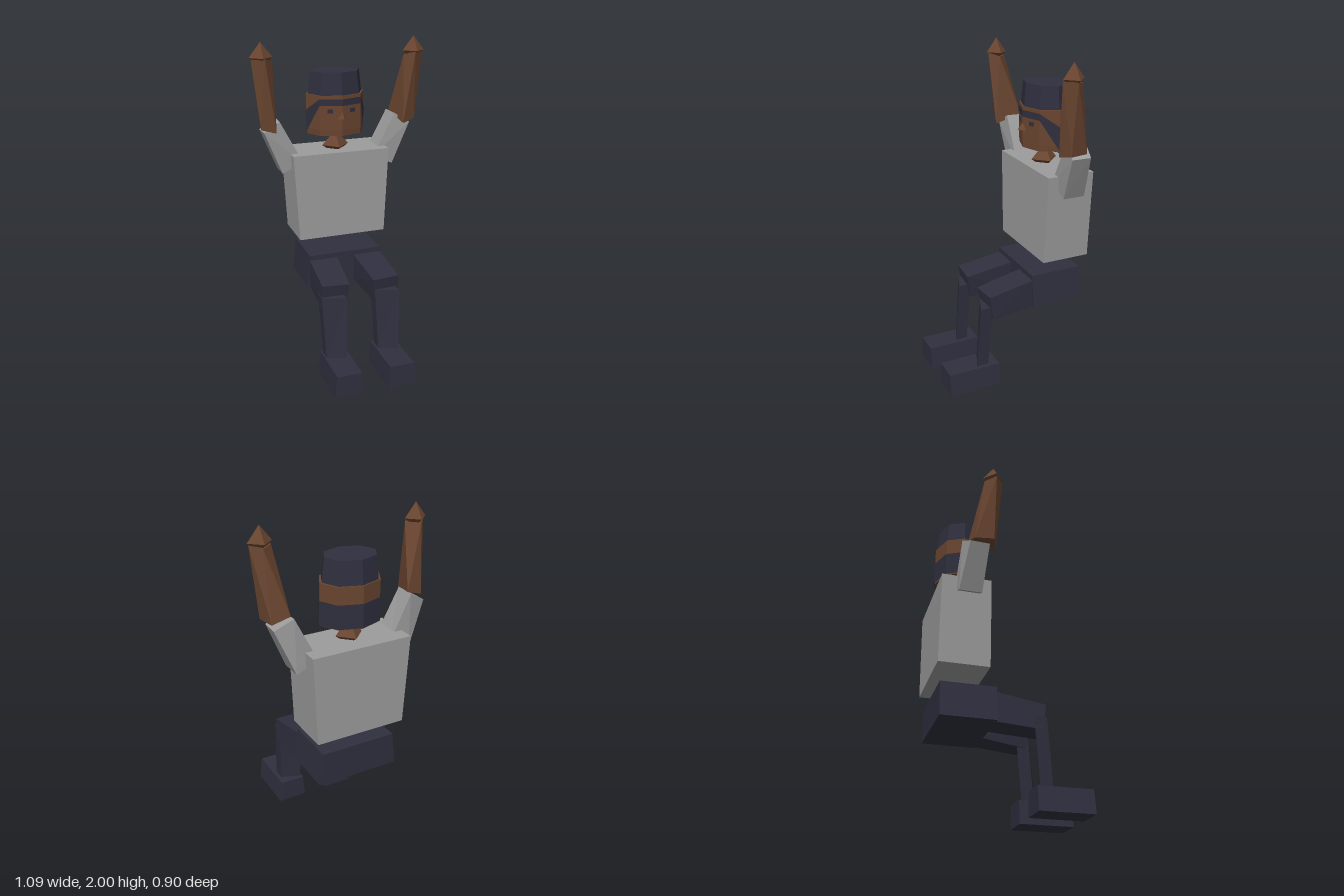
import * as THREE from 'three';

const mat = (name, color, side = THREE.FrontSide) => {
  const m = new THREE.MeshStandardMaterial({ color, flatShading: true, side });
  m.name = name;
  return m;
};

// Faceted geometry from loose triangles
function fromTriangles(tris) {
  const g = new THREE.BufferGeometry();
  g.setAttribute('position', new THREE.Float32BufferAttribute(tris.flat(2), 3));
  g.computeVertexNormals();
  return g;
}

// Closed solid through matching cross-sections; turned outwards by its signed volume
function loft(sections) {
  const n = sections[0].length, tris = [];
  for (let s = 0; s < sections.length - 1; s++) {
    const a = sections[s], b = sections[s + 1];
    for (let i = 0; i < n; i++) {
      const j = (i + 1) % n;
      tris.push([a[i], a[j], b[j]], [a[i], b[j], b[i]]);
    }
  }
  const first = sections[0], last = sections[sections.length - 1];
  for (let i = 1; i < n - 1; i++) {
    tris.push([first[0], first[i + 1], first[i]], [last[0], last[i], last[i + 1]]);
  }
  const v = (p) => new THREE.Vector3(...p);
  const o = v(first[0]);
  const volume = tris.reduce((sum, [a, b, c]) =>
    sum + v(a).sub(o).dot(v(b).sub(o).cross(v(c).sub(o))), 0);
  return fromTriangles(volume < 0 ? tris.map(([a, b, c]) => [a, c, b]) : tris);
}

// Level rectangle used as a cross-section
const rect = (x0, x1, z0, z1, y) => [[x0, y, z0], [x1, y, z0], [x1, y, z1], [x0, y, z1]];
const mirror = (sections, s) => sections.map((q) => q.map(([x, y, z]) => [x * s, y, z]));

export function createModel() {
  const model = new THREE.Group();
  model.name = 'seatedFigure';
  const grey = mat('shirtGrey', 0x9c9c9c);
  const navy = mat('darkNavy', 0x2f2f3f, THREE.DoubleSide);
  const brown = mat('skinBrown', 0x6a4530);
  const add = (name, geometry, material) => {
    const m = new THREE.Mesh(geometry, material);
    m.name = name;
    model.add(m);
    return m;
  };

  // Torso and hips
  add('torso', loft([rect(-0.28, 0.28, -0.45, -0.15, 0.78), rect(-0.308, 0.308, -0.45, -0.155, 1.32)]), grey);
  add('hips', loft([rect(-0.257, 0.257, -0.425, -0.1, 0.48), rect(-0.235, 0.235, -0.425, -0.1, 0.685)]), navy);

  // Diamond solids for neck and hands
  const diamond = (name, x, y, z, rx, up, down, rz) => {
    const g = new THREE.OctahedronGeometry(1);
    const p = g.attributes.position;
    for (let i = 0; i < p.count; i++) {
      const h = p.getY(i);
      p.setXYZ(i, x + p.getX(i) * rx, y + h * (h > 0 ? up : down), z + p.getZ(i) * rz);
    }
    g.computeVertexNormals();
    add(name, g, brown);
  };
  diamond('neck', 0, 1.34, -0.29, 0.085, 0.09, 0.06, 0.085);

  for (const s of [1, -1]) {
    const side = s > 0 ? 'left' : 'right';

    // Arms, raised
    add(side + 'UpperArm', loft(mirror([
      [[0.36, 1.2, -0.36], [0.23, 1.26, -0.36], [0.23, 1.26, -0.22], [0.36, 1.2, -0.225]],
      [[0.472, 1.465, -0.325], [0.365, 1.525, -0.35], [0.37, 1.525, -0.22], [0.468, 1.465, -0.21]],
    ], s)), grey);
    add(side + 'Forearm', loft(mirror([
      [[0.49, 1.49, -0.19], [0.405, 1.47, -0.16], [0.367, 1.525, -0.315], [0.47, 1.49, -0.3]],
      [[0.535, 1.9, -0.19], [0.465, 1.91, -0.135], [0.41, 1.89, -0.19], [0.48, 1.89, -0.25]],
    ], s)), brown);
    diamond(side + 'Hand', s * 0.475, 1.912, -0.195, 0.07, 0.088, 0.06, 0.065);

    // Legs: thigh forward, slightly twisted shin, block foot
    add(side + 'Thigh', loft(mirror([
      [[0.235, 0.48, -0.12], [0.055, 0.48, -0.12], [0.055, 0.655, -0.11], [0.235, 0.655, -0.11]],
      [[0.25, 0.455, 0.165], [0.09, 0.45, 0.17], [0.077, 0.6, 0.195], [0.245, 0.605, 0.185]],
    ], s)), navy);
    const dx = s > 0 ? 0.34 : 0;
    const shin = add(side + 'Shin', loft([
      [[-0.235, 0.13, 0.218], [-0.12, 0.13, 0.264], [-0.12, 0.13, 0.19], [-0.235, 0.13, 0.145]],
      [[-0.25, 0.53, 0.185], [-0.11, 0.53, 0.238], [-0.11, 0.53, 0.16], [-0.25, 0.53, 0.11]],
    ]), navy);
    shin.position.x = dx;
    add(side + 'Foot', loft(mirror([
      rect(0.078, 0.26, 0.125, 0.45, 0), rect(0.09, 0.245, 0.125, 0.45, 0.14),
    ], s)), navy);
  }

  // Eight-sided head: corner k counts from the front towards the figure's left
  const corner = (k, y, rx, rz) => {
    const a = (k * Math.PI) / 4;
    return [rx * Math.sin(a), y, -0.29 + rz * Math.cos(a)];
  };
  const ring = (y, rx, rz) => Array.from({ length: 8 }, (_, k) => corner(k, y, rx, rz));
  add('head', loft([ring(1.425, 0.18, 0.145), ring(1.46, 0.184, 0.147), ring(1.67, 0.185, 0.148)]), brown);
  add('cap', loft([ring(1.66, 0.173, 0.14), ring(1.805, 0.157, 0.127)]), navy);

  // Hair panels: strip over the brow, slanting at the temples, full at the back
  const hair = [];
  const panel = (k, hi0, lo0, hi1, lo1) => {
    const c = (i, y) => corner(i, y, 0.188, 0.151);
    const a = c(k, lo0), b = c(k + 1, lo1), d = c(k + 1, hi1), e = c(k, hi0);
    hair.push([a, b, d], [a, d, e]);
  };
  for (const k of [-1, 0]) panel(k, 1.65, 1.61, 1.65, 1.61);
  panel(1, 1.65, 1.61, 1.57, 1.43);
  for (const k of [2, 3, 4, 5]) panel(k, 1.57, 1.43, 1.57, 1.43);
  panel(6, 1.57, 1.43, 1.65, 1.61);
  add('hair', fromTriangles(hair), navy);

  // Eyes and nose
  for (const s of [1, -1]) {
    const eye = add(s > 0 ? 'leftEye' : 'rightEye', new THREE.BoxGeometry(0.034, 0.024, 0.008), navy);
    eye.position.set(s * 0.07, 1.578, -0.165);
    eye.rotation.y = s * 0.315;
  }
  add('nose', loft([
    [[-0.03, 1.528, -0.155], [0.03, 1.528, -0.155], [0, 1.577, -0.145]],
    [[0, 1.535, -0.108], [0, 1.535, -0.108], [0, 1.5351, -0.108]],
  ]), brown);

  return model;
}
